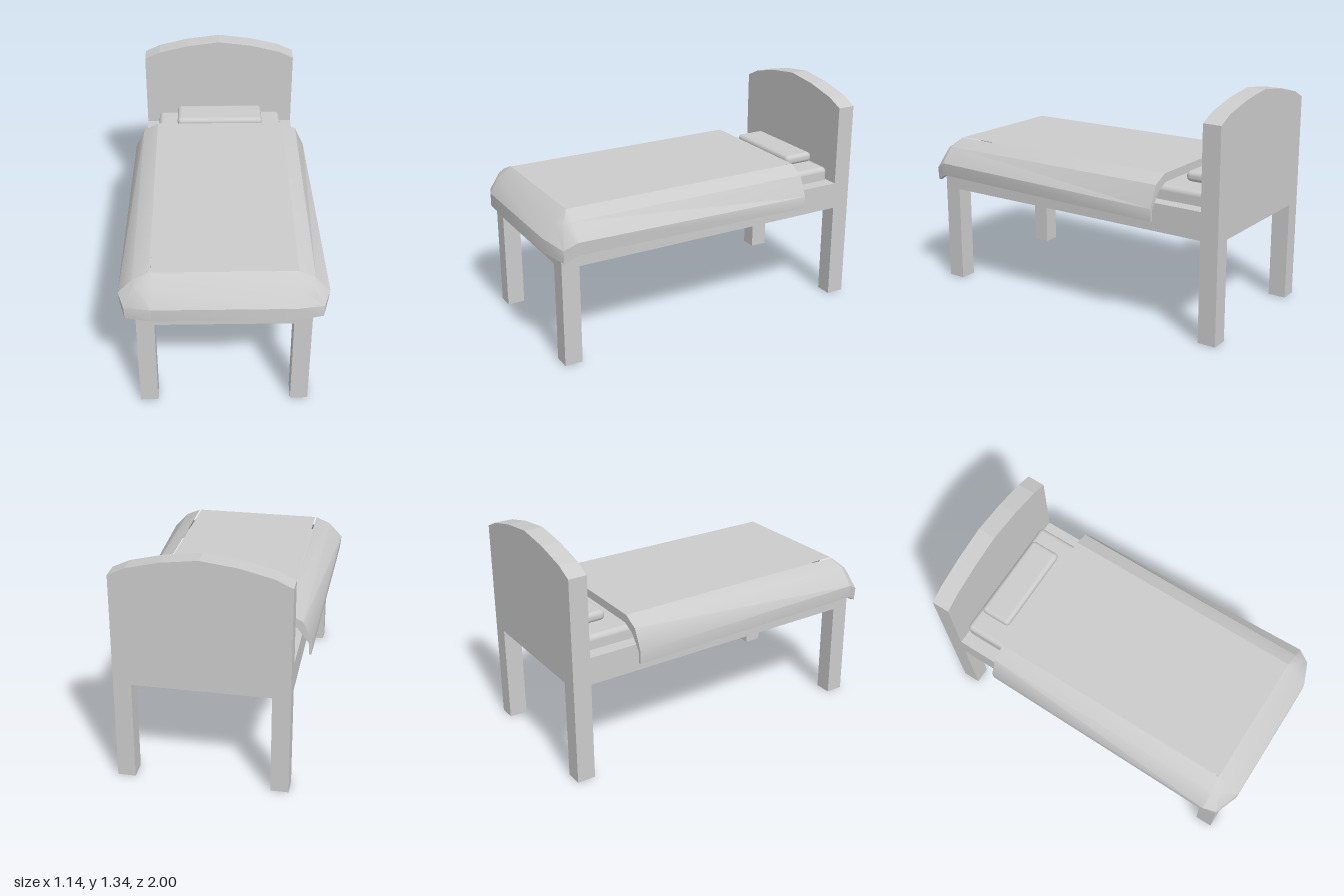
import * as THREE from 'three';
import { toCreasedNormals, mergeGeometries } from 'three/addons/utils/BufferGeometryUtils.js';
import { RoundedBoxGeometry } from 'three/addons/geometries/RoundedBoxGeometry.js';

const material = new THREE.MeshStandardMaterial({ color: 0xcccccc });

// Builds a non-indexed geometry from quads of [x, y, z] corners.
function quadGeometry(quads) {
  const pos = quads.flatMap(([a, b, c, d]) => [a, b, d, b, c, d].flat());
  const geometry = new THREE.BufferGeometry();
  geometry.setAttribute('position', new THREE.Float32BufferAttribute(pos, 3));
  geometry.computeVertexNormals();
  return geometry;
}

// Draped blanket: rings run from the back edge round the foot, and step outward to the hem.
function blanketGeometry() {
  const back = -0.62;
  // Each half ring: back, side, corner, front.
  const halfRings = [
    [[0.40, 0.895, back], [0.40, 0.895, 0.86], [0.40, 0.895, 0.86], [0.39, 0.895, 0.862]],
    [[0.49, 0.85, back], [0.49, 0.853, 0.87], [0.47, 0.84, 0.91], [0.39, 0.835, 0.935]],
    [[0.545, 0.73, back], [0.572, 0.765, 0.87], [0.54, 0.72, 0.945], [0.39, 0.75, 1.0]],
    [[0.54, 0.655, back], [0.565, 0.688, 0.865], [0.537, 0.645, 0.942], [0.39, 0.67, 1.0]],
  ];
  // Inset of the lining, tapering towards the hem: [sideways, down].
  const inset = [[0.01, 0.05], [0.03, 0.04], [0.02, 0.005], [0.012, 0]];
  const lining = halfRings.map((ring, i) => ring.map(([x, y, z], c) =>
    [x - inset[i][0], y - inset[i][1], c ? z - inset[i][0] : z]));
  const rows = [...halfRings, ...lining.reverse()].map(
    (half) => [...half, ...half.map(([x, y, z]) => [-x, y, z]).reverse()]);

  const drape = [];
  for (let r = 0; r < 7; r++) {
    for (let c = 0; c < 7; c++) {
      drape.push([rows[r][c], rows[r][c + 1], rows[r + 1][c + 1], rows[r + 1][c]]);
    }
  }

  // Flat top, underside and the exposed back edge.
  const [top, under] = [rows[0], rows[7]];
  const flats = [
    [top[0], top[7], top[4], top[3]],
    [under[0], under[3], under[4], under[7]],
    [top[0], under[0], under[7], top[7]],
  ];
  for (let i = 0; i < 3; i++) {
    const strip = (c) => [rows[i][c], rows[i + 1][c], rows[6 - i][c], rows[7 - i][c]];
    flats.push(strip(0), strip(7).reverse());
  }
  return mergeGeometries([toCreasedNormals(quadGeometry(drape), 0.6), quadGeometry(flats)]);
}

// Arched headboard with its two legs in one panel.
function headboardGeometry() {
  const outline = [
    [-0.48, 0], [-0.38, 0], [-0.38, 0.585], [0.38, 0.585], [0.38, 0], [0.48, 0],
    [0.48, 1.22], [0.385, 1.265], [0.2, 1.31], [0, 1.335],
    [-0.2, 1.31], [-0.385, 1.265], [-0.48, 1.22],
  ];
  const shape = new THREE.Shape(outline.map(([x, y]) => new THREE.Vector2(x, y)));
  return new THREE.ExtrudeGeometry(shape, { depth: 0.107, bevelEnabled: false }).translate(0, 0, -1);
}

export function createModel() {
  const bed = new THREE.Group();
  bed.name = 'bed';

  function add(name, geometry, x = 0, y = 0, z = 0) {
    const mesh = new THREE.Mesh(geometry, material);
    mesh.name = name;
    mesh.position.set(x, y, z);
    bed.add(mesh);
  }

  add('headboard', headboardGeometry());
  add('bedFrame', new THREE.BoxGeometry(0.96, 0.16, 1.828), 0, 0.665, 0.021);

  // Front legs
  for (const [name, side] of [['leftFrontLeg', 1], ['rightFrontLeg', -1]]) {
    add(name, new THREE.BoxGeometry(0.1, 0.585, 0.105), side * 0.43, 0.2925, 0.8825);
  }

  // Bedding
  add('mattress', new RoundedBoxGeometry(0.8, 0.13, 1.74, 3, 0.03), 0, 0.76, -0.025);
  add('pillow', new RoundedBoxGeometry(0.55, 0.06, 0.19, 4, 0.025), 0, 0.86, -0.77);
  add('blanket', blanketGeometry());

  return bed;
}
